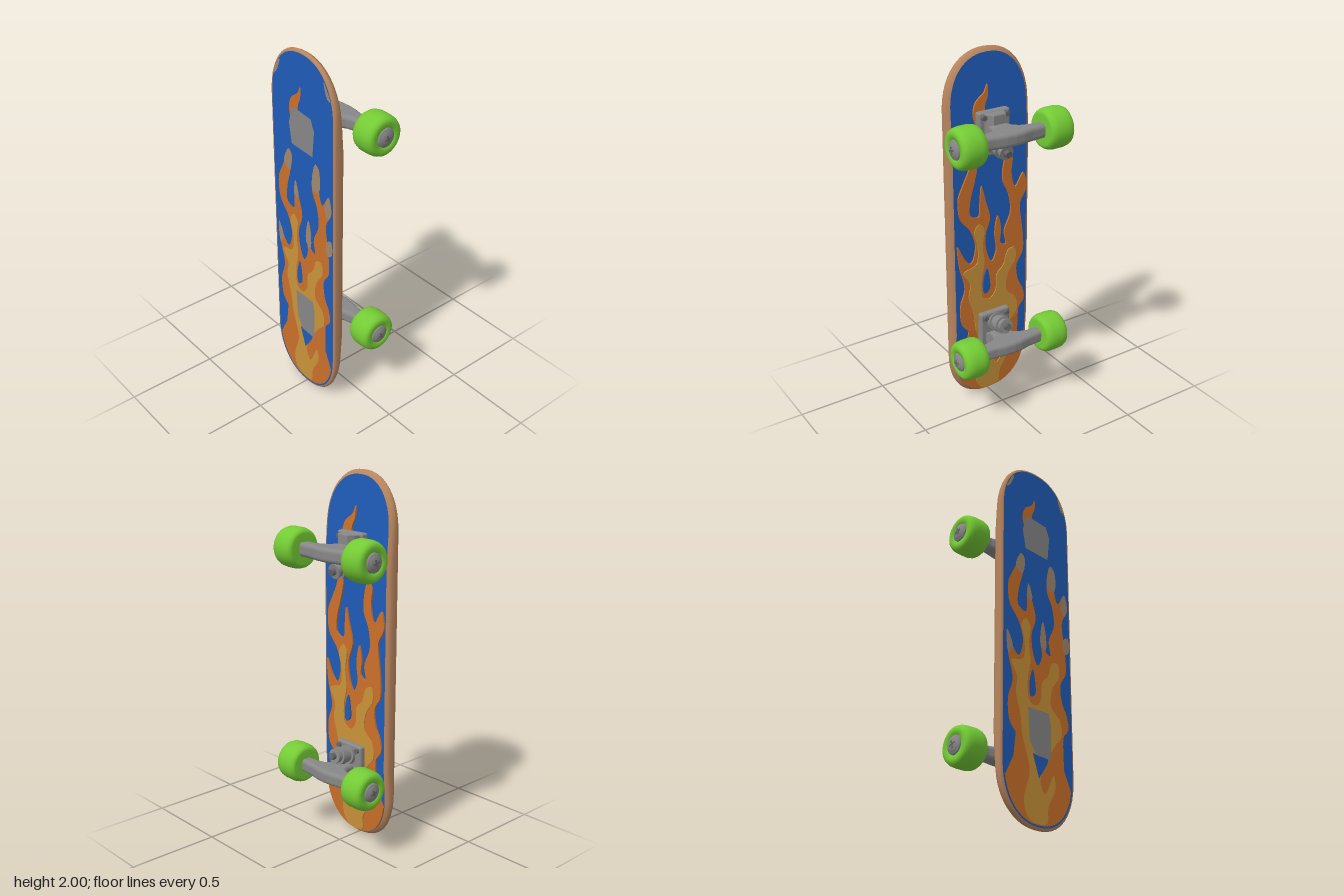
import * as THREE from 'three';
import { RoundedBoxGeometry } from 'three/addons/geometries/RoundedBoxGeometry.js';

const material = (name, color) => {
  const m = new THREE.MeshStandardMaterial({ color });
  m.name = name;
  return m;
};
const mats = {
  wood: material('wood', 0xb8855e),
  blue: material('blue paint', 0x1f5cb8),
  orange: material('orange flame', 0xcb702a),
  yellow: material('yellow flame', 0xc9933a),
  worn: material('worn paint', 0xa08870),
  metal: material('grey metal', 0x878787),
  dark: material('dark metal', 0x666666),
  green: material('green wheel', 0x74cb35),
};

function add(parent, name, geo, mat, x = 0, y = 0, z = 0) {
  const m = new THREE.Mesh(geo, mat);
  m.name = name;
  m.position.set(x, y, z);
  parent.add(m);
  return m;
}

// Underside of the deck: flat in the middle, kicked towards the front at both ends
const FRONT = 0.177;
const backZ = (y) => 0.111 + 0.03 * Math.max(0, (Math.abs(y - 1) - 0.55) / 0.45);

// Right half of the deck outline, bottom to top, with an inset
function halfOutline(inset) {
  const half = [];
  for (let k = 0; k <= 14; k++) {
    const a = (k / 14) * Math.PI / 2, e = 2 / 2.25;
    half.push([(0.246 - inset) * Math.sin(a) ** e,
      inset + (0.3 - inset) * (1 - Math.max(0, Math.cos(a)) ** e)]);
  }
  half.push([0.246 - inset, 0.45]);
  return [...half, ...half.map(([x, y]) => [x, 2 - y]).reverse()];
}

function indexed(pos, idx) {
  const g = new THREE.BufferGeometry();
  g.setAttribute('position', new THREE.Float32BufferAttribute(pos, 3));
  g.setIndex(idx);
  g.computeVertexNormals();
  return g;
}

// Painted face of the deck, made of strips across its width
function deckFace(inset, zAt, front) {
  const pos = [], idx = [], half = halfOutline(inset);
  half.forEach(([x, y], k) => {
    pos.push(-x, y, zAt(y), x, y, zAt(y));
    if (k === half.length - 1) return;
    const l = 2 * k, r = l + 1, l2 = l + 2, r2 = l + 3;
    idx.push(...(front ? [l, r, r2, l, r2, l2] : [l, r2, r, l, l2, r2]));
  });
  return indexed(pos, idx);
}

// Rounded wooden edge between the two faces
function deckEdge() {
  const rings = [
    [0.014, () => FRONT], [0.006, () => FRONT - 0.002], [0, () => FRONT - 0.01],
    [0, (y) => backZ(y) + 0.023], [0.007, (y) => backZ(y) + 0.009], [0.022, backZ],
  ];
  const pos = [], idx = [];
  let n = 0;
  rings.forEach(([inset, z], j) => {
    const half = halfOutline(inset);
    const ring = [...half, ...half.slice(1, -1).reverse().map(([x, y]) => [-x, y])];
    n = ring.length;
    ring.forEach(([x, y], i) => {
      pos.push(x, y, z(y));
      if (j === rings.length - 1) return;
      const i2 = (i + 1) % n, a = j * n + i, b = j * n + i2, c = b + n, d = a + n;
      idx.push(a, d, c, a, c, b);
    });
  });
  return indexed(pos, idx);
}

// Smooth shape through a few points
function smoothShape(pts, closed = false) {
  const curve = new THREE.CatmullRomCurve3(pts.map(([x, y]) => new THREE.Vector3(x, y, 0)), closed);
  return new THREE.Shape(curve.getPoints(pts.length * 4).map((p) => new THREE.Vector2(p.x, p.y)));
}

// Paint on the front is flat; on the back it is a thin raised plate, turned to face backwards
function paint(group, name, shape, mat, layer, sides = 'both') {
  if (sides !== 'back') {
    add(group, name + 'Front', new THREE.ShapeGeometry(shape), mat, 0, 0, FRONT + 0.0008 * layer);
  }
  if (sides === 'front') return;
  const g = new THREE.ExtrudeGeometry(shape, { depth: layer === 1 ? 0.009 : 0.004 + layer * 0.002, bevelEnabled: false });
  const p = g.attributes.position;
  for (let i = 0; i < p.count; i++) {
    const lift = p.getZ(i) + (layer > 1 ? 0.006 : 0);
    p.setXYZ(i, -p.getX(i), p.getY(i), backZ(p.getY(i)) - lift);
  }
  g.computeVertexNormals();
  add(group, name + 'Back', g, mat);
}

function flames(group) {
  paint(group, 'upperFlames', smoothShape([
    [-.15, .45], [-.19, .5], [-.2, .62], [-.17, .72], [-.2, .85], [-.21, .98], [-.17, .9], [-.13, .86],
    [-.1, .95], [-.13, 1.05], [-.19, 1.13], [-.2, 1.25], [-.17, 1.32], [-.14, 1.38], [-.11, 1.45],
    [-.085, 1.42], [-.1, 1.33], [-.13, 1.22], [-.13, 1.14], [-.08, 1.12], [-.07, 1.2], [-.06, 1.29],
    [-.035, 1.2], [-.01, 1.1], [-.04, 1], [-.03, .9], [0, .84], [.03, .9], [.02, 1], [.04, 1.1],
    [.06, 1.02], [.055, .94], [.09, .92], [.08, 1], [.12, 1.1], [.11, 1.2], [.07, 1.3], [.1, 1.45],
    [.13, 1.42], [.125, 1.32], [.15, 1.24], [.2, 1.31], [.22, 1.22], [.18, 1.14], [.19, 1.03],
    [.2, .95], [.2, .85], [.16, .78], [.17, .68], [.2, .62], [.21, .55], [.175, .5], [.17, .45],
  ]), mats.orange, 1);
  paint(group, 'upperFlameCore', smoothShape([
    [-.11, .45], [-.12, .55], [-.15, .66], [-.14, .74], [-.18, .82], [-.1, .85], [-.09, .95], [-.11, 1.04],
    [-.08, 1.08], [-.05, 1.05], [-.06, .95], [-.05, .85], [-.07, .74], [-.06, .64], [-.02, .62],
    [.02, .66], [.03, .76], [.07, .8], [.1, .88], [.14, .89], [.15, .82], [.1, .74], [.09, .64],
    [.15, .58], [.16, .5], [.12, .45],
  ]), mats.yellow, 2);

  // Lower flames follow the rounded end of the deck
  const arc = halfOutline(0.023).filter(([, y]) => y < 0.26);
  const lower = [...arc, [.172, .33], [.17, .45], [-.15, .45], [-.165, .33],
    ...arc.slice(1).reverse().map(([x, y]) => [-x, y])];
  paint(group, 'lowerFlames', new THREE.Shape(lower.map(([x, y]) => new THREE.Vector2(x, y))), mats.orange, 1);
  paint(group, 'lowerFlameCore', smoothShape([
    [-.11, .45], [-.08, .36], [-.06, .28], [-.1, .12], [-.06, .04], [.05, .04], [.06, .12], [.11, .22],
    [.1, .29], [.04, .18], [.01, .24], [.06, .36], [.12, .45],
  ]), mats.yellow, 2);
  paint(group, 'lowerBlueGap', smoothShape([[0, .25], [.06, .36], [-.04, .37]]), mats.blue, 3);
  paint(group, 'middleBlueGap', smoothShape([[-.05, .66], [-.02, .68], [-.02, .75], [-.035, .81], [-.06, .72]], true), mats.blue, 3);
  paint(group, 'topWisp', smoothShape([
    [-.08, 1.6], [-.1, 1.68], [-.08, 1.74], [-.03, 1.78], [-.01, 1.82], [-.01, 1.76], [-.03, 1.71], [-.02, 1.6],
  ]), mats.orange, 1);

  // Worn spots and grey patches on the front
  const spots = [
    [[-.15, 1.36], [-.11, 1.45], [-.085, 1.42], [-.105, 1.33]], [[.075, 1.3], [.1, 1.45], [.13, 1.42], [.125, 1.3]],
    [[.02, .96], [.04, 1.1], [.06, 1.02], [.055, .94]], [[.17, 1.24], [.2, 1.31], [.22, 1.22], [.19, 1.18]],
    [[-.07, 1.2], [-.06, 1.29], [-.035, 1.2]], [[-.2, .85], [-.21, .98], [-.17, .9]],
    [[-.215, 1.82], [-.19, 1.84], [-.16, 1.91], [-.175, 1.9]], [[.215, 1.82], [.19, 1.83], [.165, 1.91], [.18, 1.89]],
    [[.19, .96], [.225, .98], [.22, 1.06], [.185, 1.04]],
  ];
  spots.forEach((s) => paint(group, 'wornSpot', smoothShape(s, true), mats.worn, 3, 'front'));
  const patches = [
    [[-.07, .6], [-.06, .43], [-.02, .365], [.08, .36], [.085, .54], [.07, .6]],
    [[-.1, 1.6], [-.08, 1.49], [.08, 1.48], [.095, 1.62], [.07, 1.68], [-.07, 1.695]],
  ];
  patches.forEach((s) => paint(group, 'greyPatch',
    new THREE.Shape(s.map(([x, y]) => new THREE.Vector2(x, y))), mats.metal, 4, 'front'));
}

// Shape in x and z, given thickness along y and centred on it
function slab(pts, thick, bevel) {
  const g = new THREE.ExtrudeGeometry(new THREE.Shape(pts.map(([x, z]) => new THREE.Vector2(x, z))), {
    depth: thick - 2 * bevel, bevelThickness: bevel, bevelSize: bevel, bevelOffset: -bevel, bevelSegments: 4,
  });
  g.translate(0, 0, bevel - thick / 2);
  return g.rotateX(Math.PI / 2);
}
const lathe = (pts) => new THREE.LatheGeometry(pts.map(([r, h]) => new THREE.Vector2(r, h)), 36);

// Truck: +y points to the middle of the deck
function truck(name) {
  const t = new THREE.Group();
  t.name = name;
  add(t, 'basePlate', new RoundedBoxGeometry(0.185, 0.235, 0.045, 3, 0.012), mats.metal, 0, 0.022, 0.09);
  add(t, 'pivotHousing', slab([[-.075, .08], [-.055, .06], [-.035, .022], [.035, .022], [.055, .06], [.075, .08]], 0.11, 0.008),
    mats.metal, 0, -0.035, 0);
  const side = [[0, -.125], [.05, -.122], [.11, -.111], [.2, -.104], [.2, -.037], [.13, -.035], [.085, -.022], [.062, -.002], [.053, .025], [.05, .06]];
  add(t, 'hanger', slab([...side, ...side.slice(1).reverse().map(([x, z]) => [-x, z])], 0.075, 0.022), mats.metal);

  // Kingpin with bushings, leaning towards the middle
  const pin = new THREE.Group();
  pin.name = 'kingpin';
  pin.position.set(0, 0.075, 0.07);
  pin.rotation.x = -Math.PI / 2 + 0.18;
  const rod = [['bushingSeat', .052, .04, .0], ['innerBushing', .04, .04, .035], ['yoke', .048, .03, .065],
    ['outerBushing', .036, .026, .09], ['washer', .04, .008, .106]];
  rod.forEach(([n, r, h, y]) => add(pin, n, new THREE.CylinderGeometry(r, r, h, 24), mats.metal, 0, y, 0));
  add(pin, 'kingpinNut', new THREE.CylinderGeometry(0.02, 0.02, 0.025, 6), mats.dark, 0, 0.12, 0);
  t.add(pin);

  for (const s of [-1, 1]) {
    for (const y of [-0.07, 0.115]) {
      add(t, 'mountingNut', new THREE.CylinderGeometry(0.015, 0.015, 0.02, 6).rotateX(Math.PI / 2), mats.dark, s * 0.068, y, 0.062);
    }
    const w = new THREE.Group();
    w.name = 'wheelAssembly';
    w.position.set(s * 0.254, 0, -0.072);
    w.rotation.z = -s * Math.PI / 2;
    add(w, 'wheel', lathe([[.02, -.068], [.08, -.07], [.093, -.065], [.102, -.053], [.108, -.03], [.108, .02],
      [.105, .045], [.098, .061], [.087, .069], [.075, .071], [.054, .069], [.048, .055]]), mats.green);
    add(w, 'hub', lathe([[.051, .05], [.05, .069], [.044, .074], [.032, .076], [.029, .082], [0, .084]]), mats.metal);
    for (const a of [0.3, 0.3 + Math.PI / 2]) {
      add(w, 'axleBolt', new THREE.BoxGeometry(0.04, 0.004, 0.009), mats.dark, 0, 0.083, 0).rotation.y = a;
    }
    t.add(w);
  }
  return t;
}

export function createModel() {
  const model = new THREE.Group();
  model.name = 'skateboard';
  const deck = new THREE.Group();
  deck.name = 'deck';
  add(deck, 'deckEdge', deckEdge(), mats.wood);
  add(deck, 'frontFace', deckFace(0.014, () => FRONT, true), mats.blue);
  add(deck, 'backFace', deckFace(0.022, backZ, false), mats.blue);
  flames(deck);
  const lower = truck('lowerTruck'), upper = truck('upperTruck');
  lower.position.y = 0.41;
  upper.position.y = 1.6;
  upper.rotation.z = Math.PI;
  model.add(deck, lower, upper);
  return model;
}
